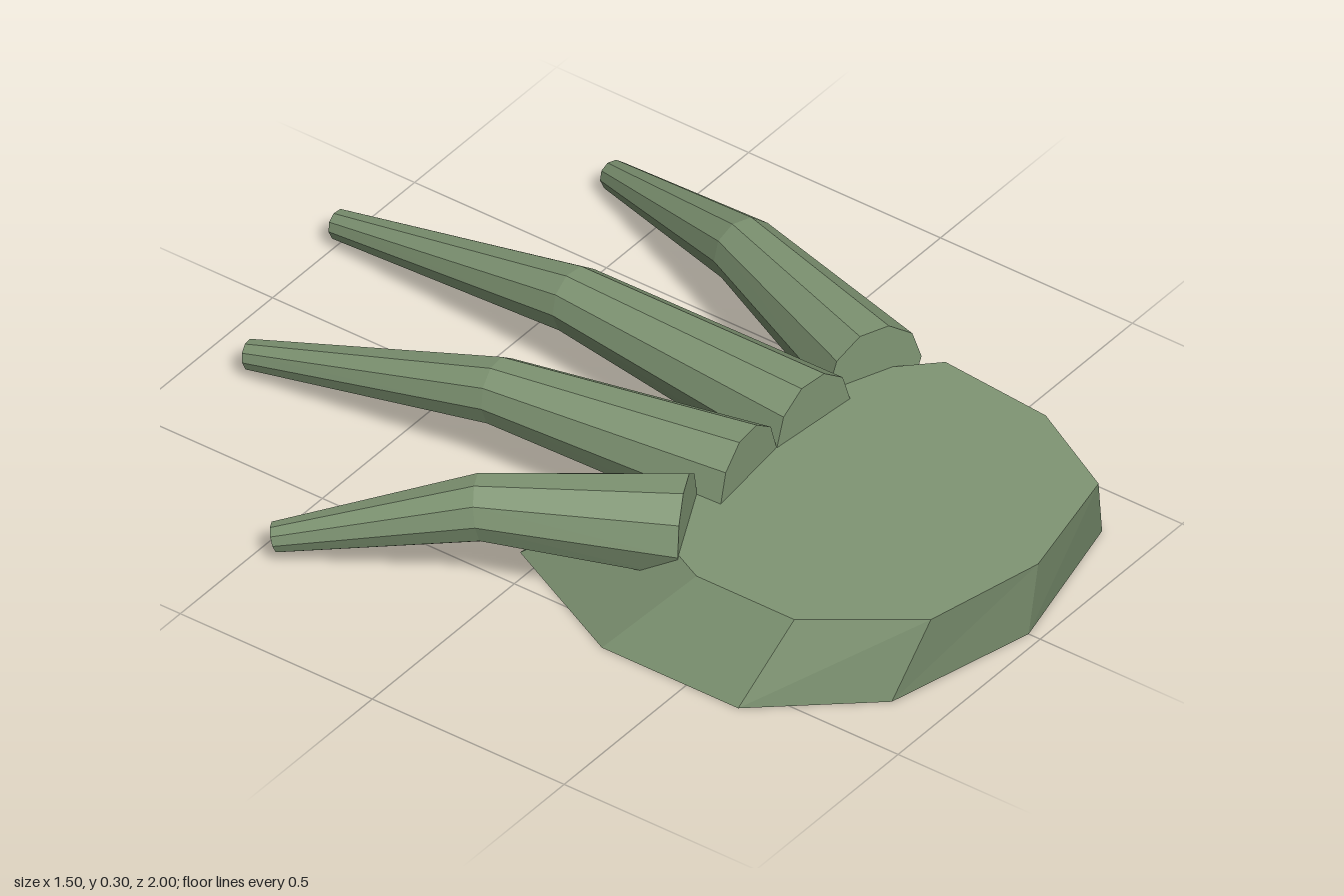
import * as THREE from 'three';

// Skin closed rings (counter-clockwise about the direction of travel), with both ends capped.
function loft(rings) {
  const n = rings[0].length, pos = [];
  const tri = (a, b, c) => pos.push(...a.toArray(), ...b.toArray(), ...c.toArray());
  for (let k = 0; k < rings.length - 1; k++) {
    const p = rings[k], q = rings[k + 1];
    for (let i = 0; i < n; i++) {
      const j = (i + 1) % n;
      tri(p[i], p[j], q[j]);
      tri(p[i], q[j], q[i]);
    }
  }
  const first = rings[0], last = rings[rings.length - 1];
  for (let i = 1; i < n - 1; i++) {
    tri(first[0], first[i + 1], first[i]);
    tri(last[0], last[i], last[i + 1]);
  }
  const geo = new THREE.BufferGeometry();
  geo.setAttribute('position', new THREE.Float32BufferAttribute(pos, 3));
  geo.computeVertexNormals();
  return geo;
}

// Ten-sided tapering toe, bent downwards at its middle joint.
function toeGeometry(baseX, tipX, tipZ) {
  const base = new THREE.Vector3(baseX, 0.195, 0.325);
  const tip = new THREE.Vector3(tipX, 0.05, tipZ);
  const joint = base.clone().lerp(tip, 0.5).setY(0.186);
  const d1 = joint.clone().sub(base).normalize();
  const d2 = tip.clone().sub(joint).normalize();
  const dMid = d1.clone().add(d2).normalize();
  const ring = (center, dir, radius) => {
    const right = new THREE.Vector3(-dir.z, 0, dir.x).normalize();
    const up = right.clone().cross(dir);
    return Array.from({ length: 10 }, (_, i) => {
      const a = (i + 0.5) * Math.PI / 5;
      return center.clone()
        .addScaledVector(up, Math.cos(a) * radius)
        .addScaledVector(right, Math.sin(a) * radius);
    });
  };
  return loft([ring(base, d1, 0.115), ring(joint, dMid, 0.075), ring(tip, d2, 0.034)]);
}

export function createModel() {
  const model = new THREE.Group();
  model.name = 'foot';
  const skin = new THREE.MeshStandardMaterial({ color: 0x809674 });
  skin.name = 'mossGreen';
  skin.flatShading = true;

  const add = (name, geometry) => {
    const mesh = new THREE.Mesh(geometry, skin);
    mesh.name = name;
    model.add(mesh);
  };

  // Flat pad: irregular ten-sided outline, wider at the ground
  const outline = (points, y) => points.map(([x, z]) => new THREE.Vector3(x, y, z));
  const bottom = [[-0.57, 0.28], [-0.57, 0.635], [-0.36, 0.88], [0, 0.97], [0.38, 0.88],
    [0.53, 0.6], [0.56, 0.245], [0.315, 0.005], [-0.08, -0.055], [-0.405, -0.055]];
  const top = [[-0.46, 0.445], [-0.46, 0.7], [-0.29, 0.93], [0, 0.995], [0.3, 0.93],
    [0.425, 0.7], [0.45, 0.42], [0.26, 0.23], [-0.06, 0.18], [-0.33, 0.18]];
  add('pad', loft([outline(bottom, 0), outline(top, 0.195)]));

  // Four spread toes: base x, tip x, tip z
  const toes = {
    outerRightToe: [-0.33, -0.72, -0.46],
    innerRightToe: [-0.114, -0.24, -0.88],
    innerLeftToe: [0.114, 0.235, -1.0],
    outerLeftToe: [0.33, 0.715, -0.64],
  };
  for (const [name, args] of Object.entries(toes)) add(name, toeGeometry(...args));

  return model;
}
